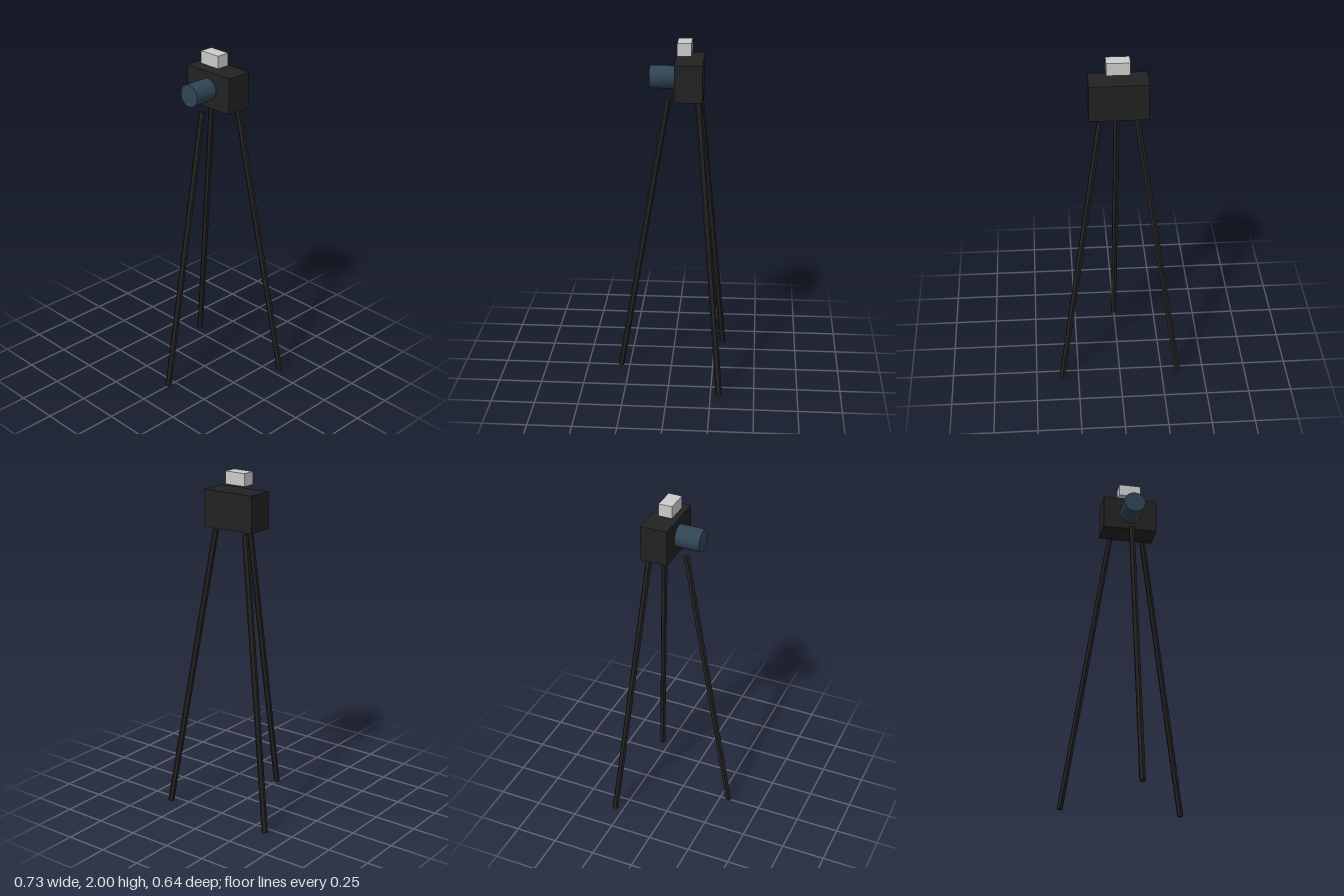
import * as THREE from 'three';

const black = new THREE.MeshStandardMaterial({ name: 'matte black', color: 0x222222 });
const legBlack = new THREE.MeshStandardMaterial({ name: 'leg black', color: 0x222222, flatShading: true });
const glass = new THREE.MeshStandardMaterial({ name: 'lens blue', color: 0x2f4454 });
const pale = new THREE.MeshStandardMaterial({ name: 'flash grey', color: 0xcccccc });

function add(parent, name, geometry, material, x, y, z) {
  const mesh = new THREE.Mesh(geometry, material);
  mesh.name = name;
  mesh.position.set(x, y, z);
  parent.add(mesh);
  return mesh;
}

export function createModel() {
  const model = new THREE.Group();
  model.name = 'cameraOnTripod';

  // Camera body, with the flash hovering just above it
  add(model, 'cameraBody', new THREE.BoxGeometry(0.324, 0.208, 0.156), black, 0, 1.795, -0.103);
  add(model, 'flash', new THREE.BoxGeometry(0.13, 0.072, 0.078), pale, 0, 1.964, -0.076);

  // Lens barrel pointing forward
  const barrel = new THREE.CylinderGeometry(0.064, 0.064, 0.149, 32).rotateX(Math.PI / 2);
  add(model, 'lens', barrel, glass, 0, 1.795, 0.0445);

  // Three splayed hexagonal legs spaced evenly around the tripod axis
  const tripod = new THREE.Group();
  tripod.name = 'tripod';
  tripod.position.z = -0.099;
  model.add(tripod);
  const top = new THREE.Vector3(0, 1.676, 0.117);
  const foot = new THREE.Vector3(0, 0.003, 0.401);
  const axis = top.clone().sub(foot);
  const legShape = new THREE.CylinderGeometry(0.018, 0.018, axis.length(), 6);
  const middle = top.clone().add(foot).multiplyScalar(0.5);
  ['frontLeg', 'backLeftLeg', 'backRightLeg'].forEach((name, i) => {
    const leg = new THREE.Group();
    leg.name = name;
    leg.rotation.y = (i * Math.PI * 2) / 3;
    const rod = add(leg, name + 'Rod', legShape, legBlack, middle.x, middle.y, middle.z);
    rod.rotation.x = Math.atan2(axis.z, axis.y);
    tripod.add(leg);
  });

  return model;
}
